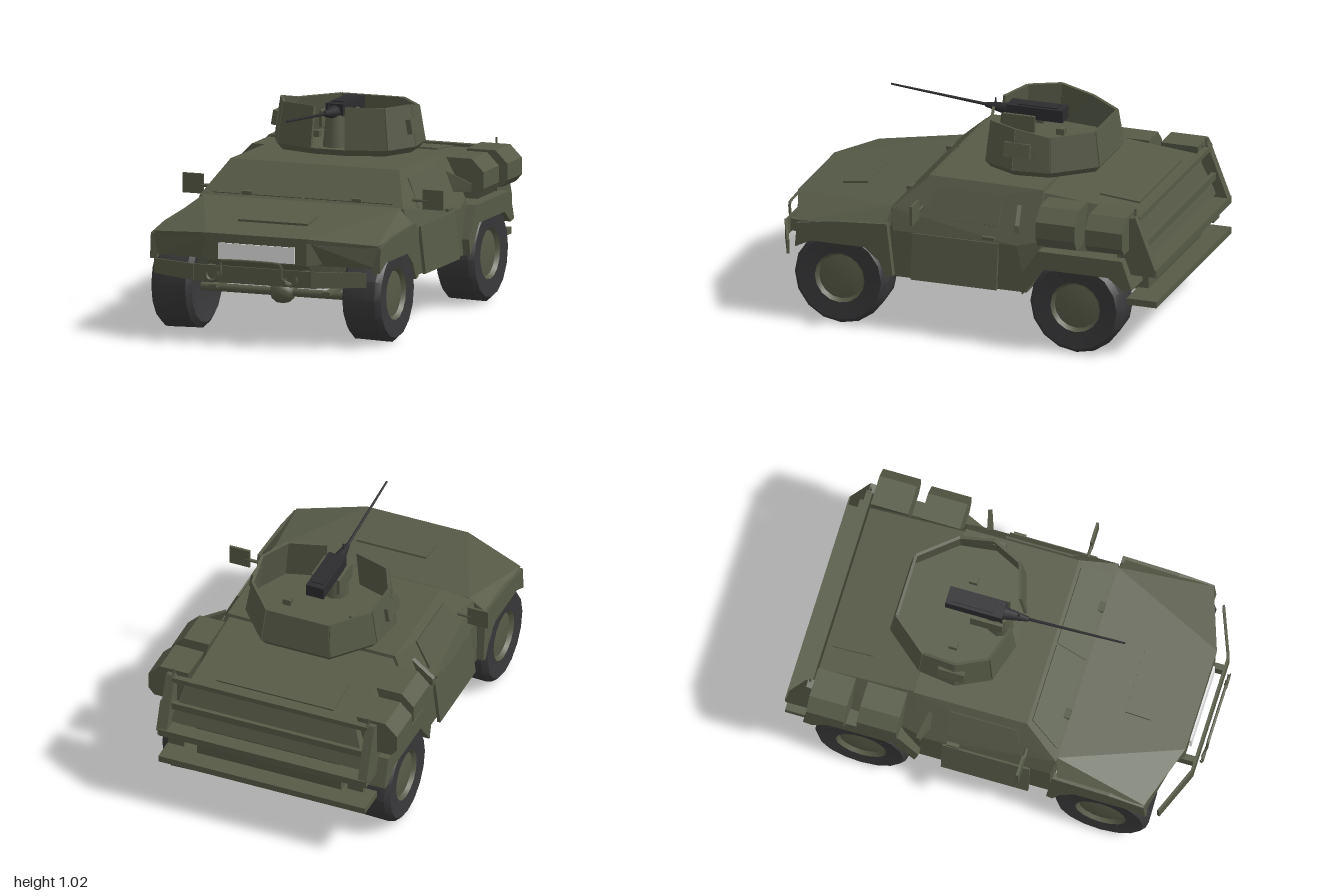
import * as THREE from 'three';
import { toCreasedNormals } from 'three/addons/utils/BufferGeometryUtils.js';
import { ConvexGeometry } from 'three/addons/geometries/ConvexGeometry.js';

const green = new THREE.MeshStandardMaterial({ color: 0x565a46 });
const rubber = new THREE.MeshStandardMaterial({ color: 0x38383a });
const gunmetal = new THREE.MeshStandardMaterial({ color: 0x2c2c30 });
const white = new THREE.MeshStandardMaterial({ color: 0xe8e8ea });
green.name = 'olive green';
rubber.name = 'tyre rubber';
gunmetal.name = 'gunmetal';
white.name = 'plate white';

const V = (p) => new THREE.Vector3(...p);
const flip = ([x, y, z]) => [-x, y, z];

export function createModel() {
  const root = new THREE.Group();
  root.name = 'armouredCar';

  const add = (name, geometry, material = green, parent = root) => {
    const mesh = new THREE.Mesh(geometry, material);
    mesh.name = name;
    parent.add(mesh);
    return mesh;
  };
  const box = (name, size, pos, material = green, parent = root) => {
    const mesh = add(name, new THREE.BoxGeometry(...size), material, parent);
    mesh.position.set(...pos);
    return mesh;
  };
  // Faceted solid around a few corner points
  const solid = (name, pts, parent = root) =>
    add(name, new ConvexGeometry(pts.map(V)), green, parent);
  // Same, with the corners mirrored across x = 0
  const symmetric = (name, pts) => solid(name, [...pts, ...pts.map(flip)]);
  // Thin panel centred on a quad
  const panel = (name, quad, t, parent = root) => {
    const q = quad.map(V);
    const n = q[2].clone().sub(q[0]).cross(q[3].clone().sub(q[1])).setLength(t / 2);
    const pts = q.flatMap((p) => [p.clone().add(n), p.clone().sub(n)]);
    return add(name, new ConvexGeometry(pts), green, parent);
  };
  // Side outline of [z, y] points extruded from x0 to x1
  const slab = (name, outline, x0, x1) => {
    const shape = new THREE.Shape(outline.map(([z, y]) => new THREE.Vector2(-z, y)));
    const g = new THREE.ExtrudeGeometry(shape, { depth: x1 - x0, bevelEnabled: false });
    return add(name, g.rotateY(Math.PI / 2).translate(x0, 0, 0));
  };
  const rod = (name, a, b, r0, r1 = r0, material = green, parent = root) => {
    const d = V(b).sub(V(a));
    const mesh = add(name, new THREE.CylinderGeometry(r1, r0, d.length(), 8), material, parent);
    mesh.position.copy(V(a)).addScaledVector(d, 0.5);
    mesh.quaternion.setFromUnitVectors(new THREE.Vector3(0, 1, 0), d.normalize());
    return mesh;
  };

  // Main body
  symmetric('cabin', [
    [0.43, 0.755, 0.17], [0.43, 0.75, -0.39], [0.52, 0.6, 0.34], [0.55, 0.5, 0.32],
    [0.55, 0.5, -0.3], [0.55, 0.27, 0.32], [0.55, 0.27, -0.35], [0.53, 0.53, -0.42]]);
  symmetric('hood', [
    [0.5, 0.605, 0.34], [0.26, 0.53, 0.9], [0.58, 0.53, 0.36], [0.575, 0.5, 0.79],
    [0.58, 0.49, 0.36], [0.565, 0.485, 0.79], [0.25, 0.51, 0.9]]);
  symmetric('nose', [
    [0.25, 0.51, 0.895], [0.25, 0.4, 0.895], [0.37, 0.5, 0.34], [0.37, 0.4, 0.34],
    [0.37, 0.49, 0.8], [0.37, 0.41, 0.8]]);
  symmetric('frontBelly', [
    [0.36, 0.42, 0.34], [0.36, 0.27, 0.34], [0.36, 0.42, 0.8],
    [0.25, 0.41, 0.89], [0.3, 0.28, 0.8]]);
  symmetric('rearBody', [
    [0.42, 0.735, -0.38], [0.42, 0.69, -0.86], [0.53, 0.5, -0.38],
    [0.5, 0.47, -0.93], [0.5, 0.47, -0.4]]);
  symmetric('rearBelly', [
    [0.37, 0.48, -0.36], [0.37, 0.27, -0.36], [0.37, 0.48, -0.92], [0.37, 0.29, -0.9]]);
  box('underPlate', [0.62, 0.012, 0.7], [0, 0.22, 0]);

  // Windscreen, hood vent and deck hatch
  for (const s of [-1, 1]) {
    panel('windscreen', [[0.006 * s, 0.74, 0.186], [0.4 * s, 0.74, 0.186],
      [0.46 * s, 0.615, 0.324], [0.006 * s, 0.615, 0.324]], 0.01);
    box('wiperMount', [0.05, 0.018, 0.03], [0.28 * s, 0.625, 0.325]);
  }
  box('hoodVent', [0.355, 0.016, 0.125], [0, 0.567, 0.64]).rotation.x = 0.13;
  box('deckHatch', [0.6, 0.008, 0.2], [0, 0.706, -0.73]).rotation.x = -0.094;

  const frontFender = [[0.34, 0.54], [0.62, 0.52], [0.79, 0.49], [0.8, 0.37],
    [0.72, 0.41], [0.45, 0.41], [0.38, 0.35], [0.34, 0.27], [0.31, 0.28]];
  const rearFender = [[-0.32, 0.35], [-0.42, 0.5], [-0.84, 0.5], [-0.89, 0.36], [-0.85, 0.35],
    [-0.77, 0.41], [-0.45, 0.41], [-0.37, 0.31], [-0.34, 0.27]];
  const rearArch = [[-0.32, 0.35], [-0.42, 0.5], [-0.84, 0.5], [-0.89, 0.36], [-0.87, 0.36],
    [-0.82, 0.48], [-0.44, 0.48], [-0.34, 0.34]];
  const rearCheek = [[-0.8, 0.69], [-0.89, 0.71], [-0.99, 0.45], [-0.99, 0.42], [-0.8, 0.42]];

  for (const s of [-1, 1]) {
    const both = (name, outline, a, b) => slab(name, outline, s > 0 ? a : -b, s > 0 ? b : -a);
    both('frontFenderSkirt', frontFender, 0.55, 0.586);
    both('rearFenderSkirt', rearFender, 0.55, 0.586);
    both('rearWheelArch', rearArch, 0.36, 0.56);
    both('rearCheek', rearCheek, 0.49, 0.535);

    // Recessed wall closing the front of the fender
    panel('fenderFront', [[0.25 * s, 0.51, 0.88], [0.57 * s, 0.49, 0.785],
      [0.57 * s, 0.39, 0.785], [0.25 * s, 0.4, 0.85]], 0.012);

    // Door flaring outwards at the sill, with a vision port and handle
    panel('door', [[0.552 * s, 0.5, 0.22], [0.552 * s, 0.5, -0.21],
      [0.578 * s, 0.275, -0.21], [0.578 * s, 0.275, 0.22]], 0.016);
    panel('doorWindow', [[0.455 * s, 0.71, 0.13], [0.455 * s, 0.71, -0.2],
      [0.522 * s, 0.575, -0.2], [0.522 * s, 0.575, 0.17]], 0.016);
    box('doorHandle', [0.02, 0.015, 0.06], [0.55 * s, 0.52, -0.16]);

    // Wing mirror
    box('mirror', [0.105, 0.095, 0.012], [0.612 * s, 0.627, 0.19]);
    rod('mirrorArm', [0.5 * s, 0.62, 0.19], [0.58 * s, 0.62, 0.19], 0.008);

    // Stowage boxes above the rear wheels
    for (const [z0, z1, x, y0] of [[-0.42, -0.615, 0.62, 0.53], [-0.675, -0.86, 0.638, 0.545]]) {
      const bin = [z0, z1].flatMap((z) => [[0.43, 0.72, z], [x - 0.06, 0.72, z],
        [x, 0.66, z], [x, 0.58, z], [x - 0.03, y0, z], [0.48, y0, z]]);
      solid('stowageBox', s > 0 ? bin : bin.map(flip));
    }
    panel('sideBracket', [[0.48 * s, 0.68, -0.29], [0.6 * s, 0.62, -0.32],
      [0.6 * s, 0.58, -0.32], [0.52 * s, 0.58, -0.29]], 0.02);
    box('tailLight', [0.08, 0.06, 0.03], [0.46 * s, 0.38, -0.93]);
    rod('aerialMount', [0.5 * s, 0.69, -0.88], [0.5 * s, 0.745, -0.88], 0.006);

    // Swept bumper wing and towing hook
    panel('bumperWing', [[0.3 * s, 0.385, 0.945], [0.54 * s, 0.38, 0.85],
      [0.54 * s, 0.31, 0.85], [0.3 * s, 0.305, 0.945]], 0.012);
    box('bumperBracket', [0.03, 0.06, 0.12], [0.24 * s, 0.345, 0.88]);
    const hook = add('towHook', new THREE.TorusGeometry(0.03, 0.008, 5, 10, Math.PI * 1.3));
    hook.position.set(0.2 * s, 0.345, 0.97);
    hook.rotation.z = Math.PI * 0.85;
  }

  // Front bumper, number plate and guard loop
  box('frontBumper', [0.6, 0.08, 0.012], [0, 0.345, 0.945]);
  box('numberPlate', [0.39, 0.078, 0.009], [0, 0.448, 0.906], white);
  const loop = new THREE.CatmullRomCurve3([[-0.2, 0.32, 0.965], [-0.155, 0.345, 0.975],
    [-0.15, 0.415, 0.98], [0, 0.42, 0.98], [0.15, 0.415, 0.98], [0.155, 0.345, 0.975],
    [0.2, 0.32, 0.965]].map(V), false, 'catmullrom', 0.2);
  add('guardLoop', new THREE.TubeGeometry(loop, 30, 0.007, 6));

  // Rear rails and bumper
  box('rearBumper', [1.06, 0.032, 0.15], [0, 0.281, -0.92]);
  box('rearLedge', [1.06, 0.035, 0.08], [0, 0.437, -0.955]);
  box('rearRail', [1.0, 0.035, 0.02], [0, 0.56, -0.92]);
  box('rearTopRail', [1.0, 0.025, 0.03], [0, 0.69, -0.885]);

  // Wheels, axles and drive shaft
  const lathe = (pts) => toCreasedNormals(
    new THREE.LatheGeometry(pts.map((p) => new THREE.Vector2(...p)), 16), 0.8);
  const tyre = lathe([[0, -0.07], [0.12, -0.08], [0.2, -0.1], [0.228, -0.08],
    [0.232, 0.075], [0.21, 0.1], [0.125, 0.094]]);
  const hub = lathe([[0.125, 0.094], [0.11, 0.075], [0, 0.09]]);
  for (const z of [0.577, -0.605]) {
    for (const s of [-1, 1]) {
      const wheel = new THREE.Group();
      wheel.name = z > 0 ? 'frontWheel' : 'rearWheel';
      wheel.position.set(0.485 * s, 0.238, z);
      wheel.rotation.z = -s * Math.PI / 2;
      add('tyre', tyre, rubber, wheel);
      add('hub', hub, green, wheel);
      root.add(wheel);
      box('leafSpring', [0.04, 0.015, 0.34], [0.29 * s, 0.245, z]);
    }
    rod('axle', [-0.42, 0.21, z], [0.42, 0.21, z], 0.02);
    const diff = add('differential', new THREE.SphereGeometry(0.056, 8, 6));
    diff.scale.x = 1.2;
    diff.position.set(0, 0.21, z);
  }
  rod('driveShaft', [0, 0.21, -0.6], [0, 0.21, 0.57], 0.014);

  // Open-topped turret of sloping shields, with a gap at the front for the gun
  const turret = new THREE.Group();
  turret.name = 'turret';
  root.add(turret);
  const half = [[0.085, 0.01], [0.28, -0.05], [0.358, -0.21], [0.335, -0.39], [0.175, -0.58]];
  const ring = [...half, ...half.map(([x, z]) => [-x, z]).reverse()];
  const level = (k, y) => ring.map(([x, z]) => [x * k, y, -0.285 + (z + 0.285) * k]);
  const low = level(0.99, 0.8);
  const high = level(0.91, 1.0).map(([x, y, z]) => [x, z < -0.3 ? 0.968 : y, z]);
  solid('turretBase', [...level(0.93, 0.77), ...level(1, 0.8)], turret);
  for (let i = 0; i < ring.length - 1; i++) {
    panel('turretShield', [low[i], low[i + 1], high[i + 1], high[i]], 0.014, turret);
  }
  for (const s of [-1, 1]) {
    const port = box('turretSidePort', [0.025, 0.07, 0.13], [0.343 * s, 0.9, -0.23], green, turret);
    port.rotation.z = 0.17 * s;
    box('turretSeat', [0.04, 0.03, 0.04], [0.17 * s, 0.82, -0.27], green, turret);
    box('gunCradle', [0.015, 0.08, 0.16], [0.065 * s, 0.93, -0.14], green, turret);
  }
  rod('gunPedestal', [0, 0.8, -0.09], [0, 0.95, -0.09], 0.065, 0.05, green, turret);

  // Machine gun
  const gun = new THREE.Group();
  gun.name = 'machineGun';
  turret.add(gun);
  box('receiver', [0.09, 0.06, 0.28], [0, 0.975, -0.21], gunmetal, gun);
  box('topCover', [0.06, 0.02, 0.2], [0, 1.0, -0.22], gunmetal, gun);
  rod('barrelSleeve', [0, 0.965, -0.08], [0, 0.975, 0.05], 0.035, 0.012, gunmetal, gun);
  rod('barrel', [0, 0.974, 0.03], [0, 1.018, 0.525], 0.008, 0.005, gunmetal, gun);
  rod('frontSight', [0, 0.98, 0.0], [0, 1.015, 0.0], 0.006, 0.004, gunmetal, gun);

  return root;
}
